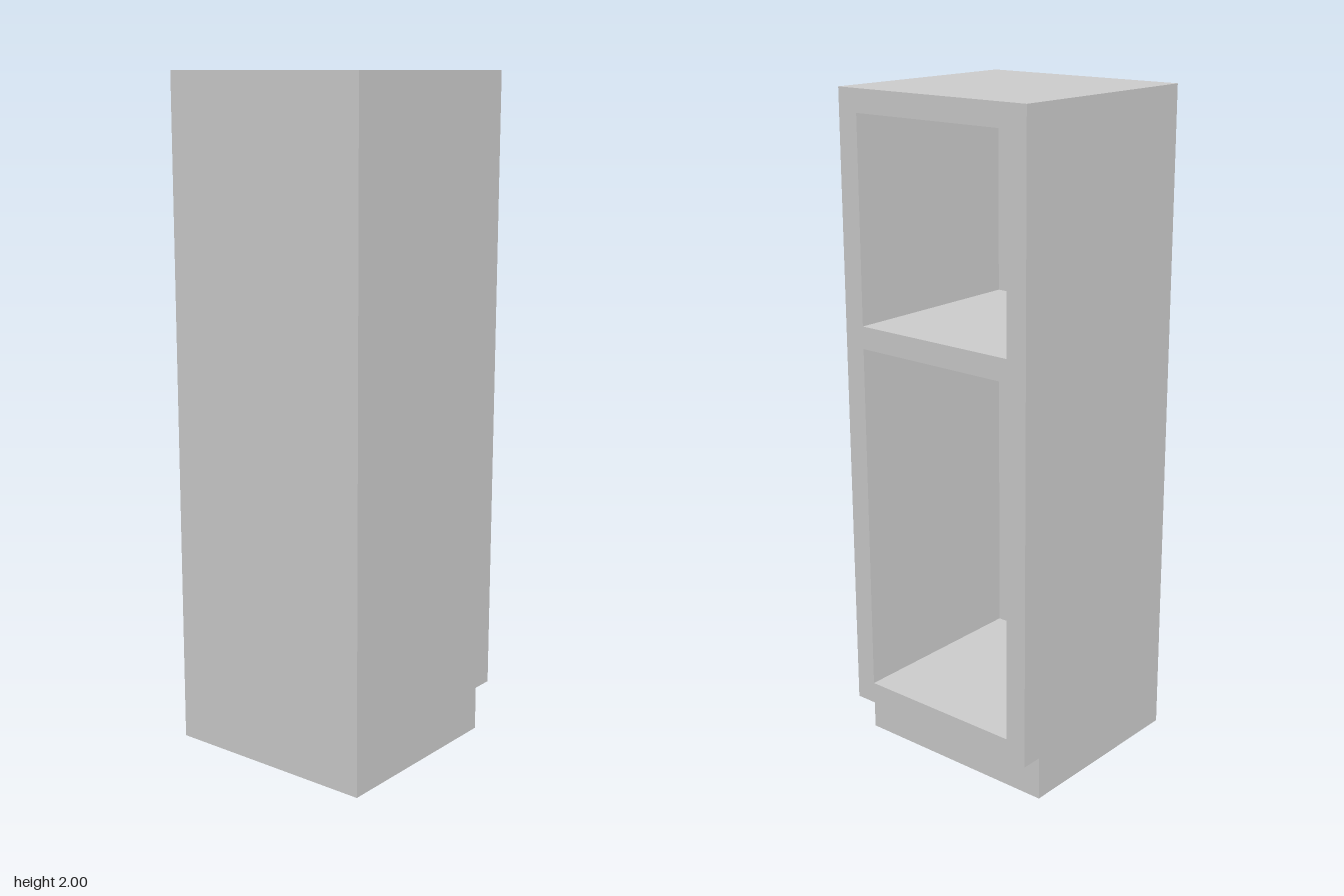
import * as THREE from 'three';

const T = 1 / 15;        // board thickness
const H = 2;             // overall height
const R = 1 / 3;         // half of the width and depth
const KICK = 2 * T;      // plinth height

function rect(PathType, y0, y1, half) {
  const p = new PathType();
  p.moveTo(-half, y0);
  p.lineTo(half, y0);
  p.lineTo(half, y1);
  p.lineTo(-half, y1);
  p.closePath();
  return p;
}

export function createModel() {
  const group = new THREE.Group();
  group.name = 'tallCabinet';
  const material = new THREE.MeshStandardMaterial({ color: 0xcccccc, flatShading: true });

  const add = (name, geometry, x = 0, y = 0) => {
    const mesh = new THREE.Mesh(geometry, material);
    mesh.name = name;
    mesh.position.set(x, y, 0);
    group.add(mesh);
  };

  // Carcass: sides, top, shelf and floor around two compartments open to +x
  const outline = rect(THREE.Shape, KICK, H, R);
  outline.holes.push(
    rect(THREE.Path, 3 * T, 19 * T, R - T),
    rect(THREE.Path, 20 * T, H - T, R - T)
  );
  const carcass = new THREE.ExtrudeGeometry(outline, { depth: 2 * R - T, bevelEnabled: false });
  carcass.rotateY(Math.PI / 2);
  add('carcass', carcass, -R + T);

  // Back panel closing both compartments
  add('backPanel', new THREE.BoxGeometry(T, H - KICK, 2 * R), -R + T / 2, (H + KICK) / 2);

  // Plinth, set back under the open side as a toe kick
  add('plinth', new THREE.BoxGeometry(2 * R - T, KICK, 2 * R), -T / 2, KICK / 2);

  return group;
}
